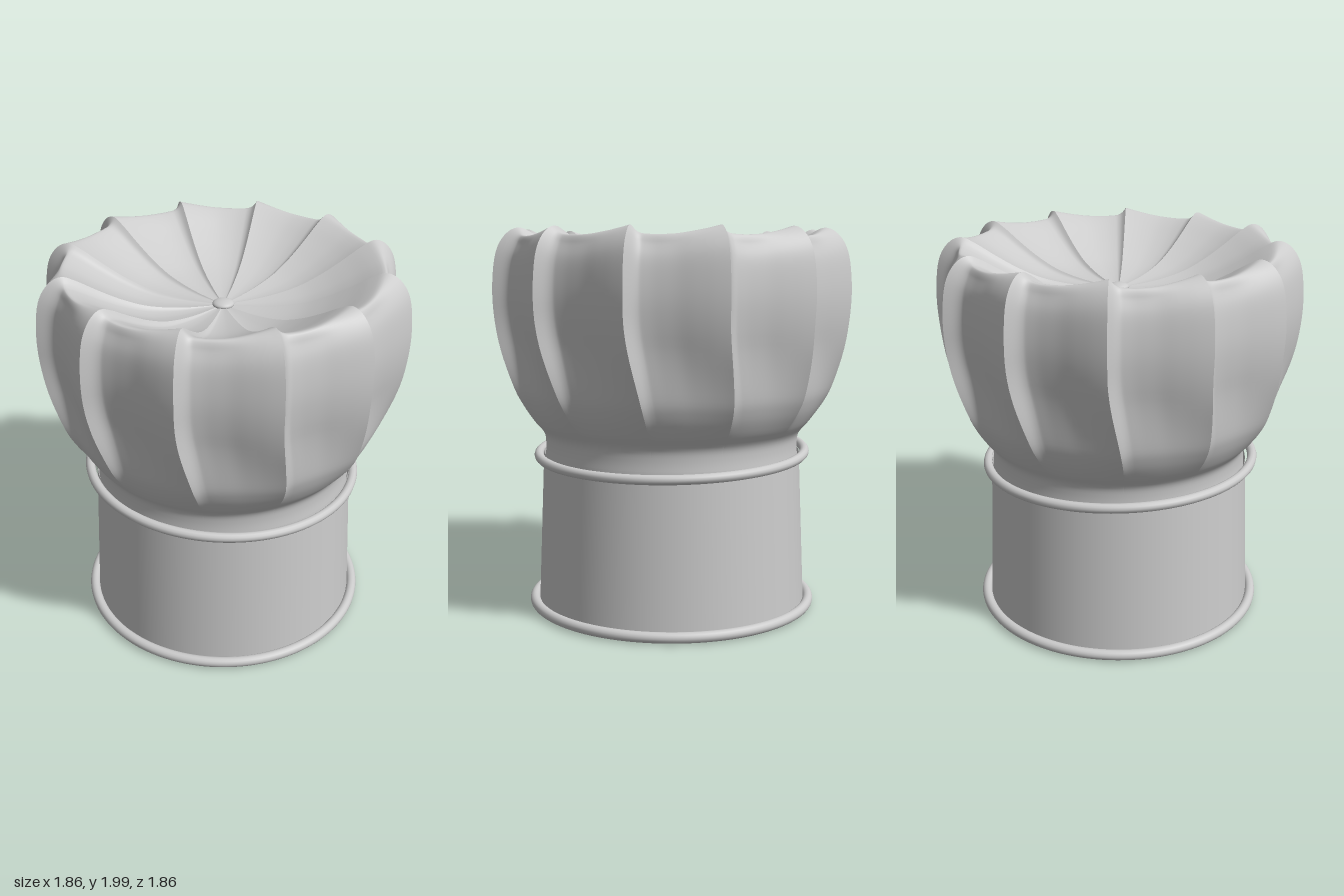
import * as THREE from 'three';

const PLEATS = 12;
const material = new THREE.MeshStandardMaterial({ color: 0xcccccc, side: THREE.DoubleSide });

// Crest line of the puff as (radius, height), from the neck up and over into the dish
const crest = new THREE.SplineCurve([
  [0.672, 0.8], [0.668, 0.88], [0.68, 0.945], [0.735, 1.01], [0.8, 1.1], [0.85, 1.2], [0.91, 1.4],
  [0.938, 1.6], [0.937, 1.76], [0.915, 1.89], [0.865, 1.97], [0.8, 2.0], [0.73, 1.972],
  [0.62, 1.905], [0.5, 1.84], [0.37, 1.79], [0.2, 1.76], [0.004, 1.75],
].map(([r, y]) => new THREE.Vector2(r, y)));

// Depth below the crest across one pleat: slow fall, then a sharp riser to the next fold
const fold = new THREE.SplineCurve([
  [0, 0], [0.12, 0.022], [0.3, 0.052], [0.5, 0.078], [0.7, 0.086], [0.84, 0.08], [0.9, 0.07],
  [0.95, 0.045], [1, 0],
].map(([u, d]) => new THREE.Vector2(u, d)));

// Pleats fade out towards the neck and towards the middle of the dish
function foldStrength(p, onTop) {
  if (!onTop) return THREE.MathUtils.smoothstep(p.y, 0.95, 1.45);
  const outer = THREE.MathUtils.smoothstep(p.x, 0.74, 0.92);
  return 0.42 * Math.min(1, p.x / 0.74) + 0.58 * outer;
}

function pleatGeometry() {
  const rows = 80, cols = 32;
  const positions = [], index = [];
  for (let i = 0; i <= rows; i++) {
    const p = crest.getPoint(i / rows);
    const t = crest.getTangent(i / rows);
    const strength = foldStrength(p, p.y > 1.7);
    const twist = -0.09 * (1 - THREE.MathUtils.smoothstep(p.y, 0.95, 1.6));
    for (let j = 0; j <= cols; j++) {
      const f = fold.getPoint(j / cols);
      const depth = f.y * strength;
      const r = Math.max(0.003, p.x - t.y * depth);
      const y = p.y + t.x * depth;
      const a = f.x * Math.PI * 2 / PLEATS + twist;
      positions.push(r * Math.cos(a), y, r * Math.sin(a));
      if (i < rows && j < cols) {
        const k = i * (cols + 1) + j, up = k + cols + 1;
        index.push(k, up, k + 1, up, up + 1, k + 1);
      }
    }
  }
  const g = new THREE.BufferGeometry();
  g.setAttribute('position', new THREE.Float32BufferAttribute(positions, 3));
  g.setIndex(index);
  g.computeVertexNormals();
  return g;
}

function add(parent, name, geometry) {
  const mesh = new THREE.Mesh(geometry, material);
  mesh.name = name;
  parent.add(mesh);
  return mesh;
}

export function createModel() {
  const hat = new THREE.Group();
  hat.name = 'pleatedHat';

  // Tall, slightly tapered head band, open below
  const band = add(hat, 'headBand', new THREE.CylinderGeometry(0.68, 0.715, 0.83, 96, 1, true));
  band.position.y = 0.42;

  // Rolled hem at the bottom edge
  const hem = add(hat, 'bottomHem', new THREE.TorusGeometry(0.738, 0.027, 16, 128));
  hem.rotation.x = Math.PI / 2;
  hem.position.y = 0.035;

  // Piping between band and puff, slightly tilted
  class PipingPath extends THREE.Curve {
    getPoint(t, target = new THREE.Vector3()) {
      const a = t * Math.PI * 2, c = Math.cos(a), s = Math.sin(a);
      return target.set(0.708 * c - 0.006, 0.829 - 0.025 * c + 0.014 * s, 0.708 * s + 0.006);
    }
  }
  add(hat, 'piping', new THREE.TubeGeometry(new PipingPath(), 128, 0.025, 12, true));

  // Puff made of identical overlapping pleats
  const puff = new THREE.Group();
  puff.name = 'puff';
  const pleat = pleatGeometry();
  for (let k = 0; k < PLEATS; k++) {
    const mesh = add(puff, 'pleat' + (k + 1), pleat);
    mesh.rotation.y = THREE.MathUtils.degToRad(8 - k * 360 / PLEATS);
  }
  hat.add(puff);

  // Small covered button in the middle of the dish
  const button = add(hat, 'topButton', new THREE.SphereGeometry(0.055, 32, 16));
  button.scale.y = 0.4;
  button.position.y = 1.755;

  return hat;
}
